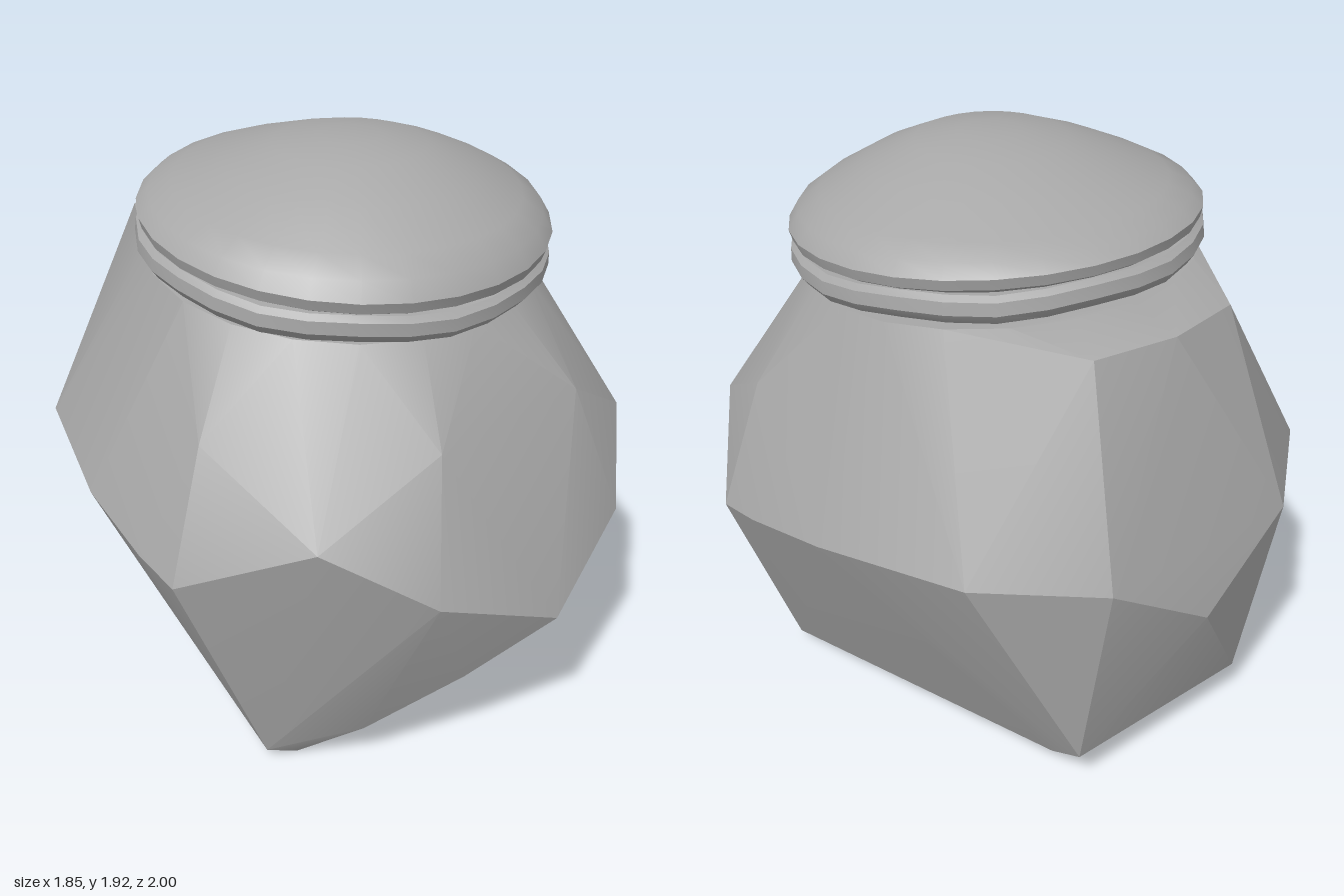
import * as THREE from 'three';
import { toCreasedNormals } from 'three/addons/utils/BufferGeometryUtils.js';
import { ConvexGeometry } from 'three/addons/geometries/ConvexGeometry.js';

const TILT = 0.1; // the lid and mouth lean towards the front

export function createModel() {
  const group = new THREE.Group();
  const grey = new THREE.MeshStandardMaterial({ color: 0xa8a8a8 });
  grey.name = 'stone grey';

  // Jar body: a faceted hull; each corner is mirrored across x
  const corners = [
    // foot
    [0.55, 0, 0.4], [0.65, 0.045, 0.37], [0.36, 0.1, -0.71], [0.35, 0.16, -0.83],
    // lower front
    [0.44, 0.17, 0.61], [0.21, 0.38, 0.82], [0, 0.6, 1],
    // belly, front to back
    [0.41, 0.77, 0.89], [0.68, 0.97, 0.66], [0.925, 0.78, 0.29], [0.92, 0.81, 0.12],
    [0.875, 0.87, -0.2], [0.69, 0.91, -0.69], [0.36, 0.89, -0.955], [0, 0.66, -1],
    // shoulder
    [0.3, 1.2, 0.77], [0.78, 1.2, 0.26], [0.27, 1.54, -0.74], [0, 1.545, -0.79],
  ];
  const points = [];
  for (const [x, y, z] of corners) {
    points.push(new THREE.Vector3(x, y, z));
    if (x > 0) points.push(new THREE.Vector3(-x, y, z));
  }
  // mouth rim under the lid
  for (let i = 0; i < 20; i++) {
    const a = (i / 20) * Math.PI * 2;
    const z = 0.61 * Math.cos(a);
    points.push(new THREE.Vector3(0.62 * Math.sin(a), 1.52 - TILT * z, z));
  }
  const body = new THREE.Mesh(toCreasedNormals(new ConvexGeometry(points), 0.35), grey);
  body.name = 'jarBody';
  group.add(body);

  // Lid: a rim band and a cushion-like dome, both lathed
  const lid = new THREE.Group();
  lid.name = 'lid';
  lid.position.set(0, 1.572, 0.025);
  lid.rotation.x = TILT;
  group.add(lid);

  function addLathe(name, profile, shape) {
    const geometry = new THREE.LatheGeometry(profile.map(([r, y]) => new THREE.Vector2(r, y)), 28);
    const p = geometry.attributes.position;
    for (let i = 0; i < p.count; i++) {
      p.setY(i, p.getY(i) + shape(p.getX(i), p.getY(i), p.getZ(i)));
    }
    const mesh = new THREE.Mesh(toCreasedNormals(geometry, 0.6), grey);
    mesh.name = name;
    lid.add(mesh);
  }

  // slightly wavy band
  addLathe('lidBand',
    [[0, -0.045], [0.59, -0.045], [0.635, -0.03], [0.658, 0], [0.655, 0.04], [0.635, 0.055], [0, 0.055]],
    (x, y, z) => 0.006 * Math.sin(7 * Math.atan2(x, z)));

  // dome, fuller towards the front
  addLathe('lidDome',
    [[0, 0.05], [0.61, 0.05], [0.645, 0.07], [0.655, 0.105], [0.62, 0.15], [0.55, 0.19],
      [0.4, 0.26], [0.24, 0.32], [0.1, 0.343], [0, 0.345]],
    (x, y, z) => 0.4 * z * Math.max(0, y - 0.1));

  return group;
}
